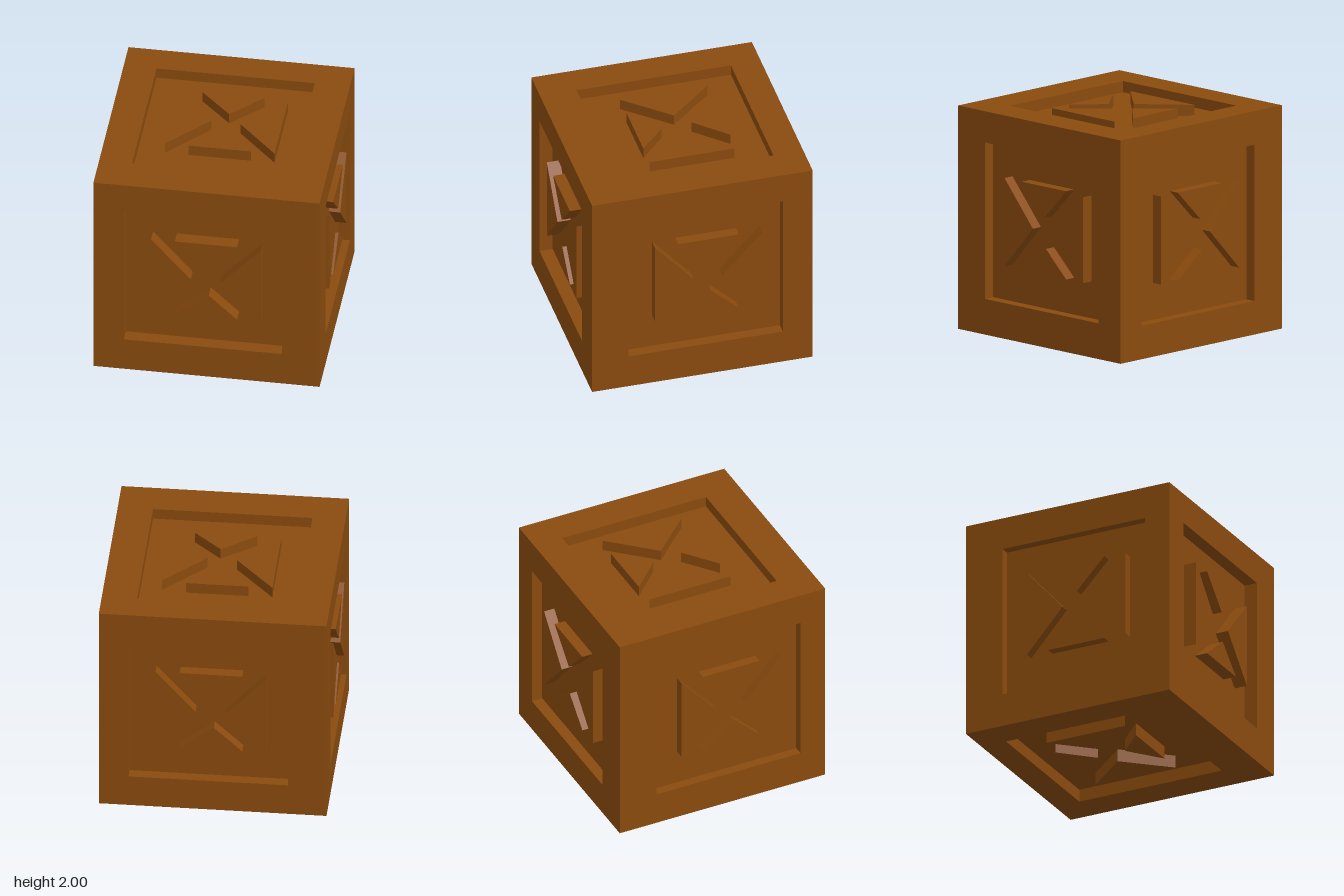
import * as THREE from 'three';

const wood = new THREE.MeshStandardMaterial({ color: 0x8a4b0e, flatShading: true, side: THREE.DoubleSide });

// Recess square, and the four wedges left standing in it (coordinates on the face plane)
const HALF = 0.7, CX = -0.03, CY = 0.02;
const WEDGES = {
  leftWedge: [[-0.49, 0.44], [-0.49, -0.35], [-0.14, 0.04]],
  rightWedge: [[0.48, 0.42], [0.12, 0.03], [0.48, -0.35]],
  topWedge: [[-0.28, 0.44], [0, 0.16], [0.27, 0.44]],
  bottomWedge: [[-0.28, -0.35], [0.27, -0.35], [0.02, -0.115]],
};

const polygon = (pts, Type = THREE.Shape) => new Type(pts.map(([x, y]) => new THREE.Vector2(x, y)));
const square = (r, x = 0, y = 0) => [[x - r, y - r], [x + r, y - r], [x + r, y + r], [x - r, y + r]];

function addMesh(parent, name, geometry) {
  const mesh = new THREE.Mesh(geometry, wood);
  mesh.name = name;
  parent.add(mesh);
  return mesh;
}

// One crate side facing +z at z = 1; dx, dy shift its carving
function makeSide(name, depth, dx, dy) {
  const side = new THREE.Group();
  side.name = name;
  const x = CX + dx, y = CY + dy;

  // Flat border around the recess
  const border = polygon(square(1));
  border.holes.push(polygon(square(HALF, x, y).reverse(), THREE.Path));
  addMesh(side, 'border', new THREE.ShapeGeometry(border)).position.z = 1;

  // Recess walls: an open four-sided tube
  const walls = new THREE.CylinderGeometry(HALF * Math.SQRT2, HALF * Math.SQRT2, depth, 4, 1, true, Math.PI / 4);
  walls.rotateX(Math.PI / 2);
  addMesh(side, 'recessWalls', walls).position.set(x, y, 1 - depth / 2);

  // Recess floor
  addMesh(side, 'recessFloor', new THREE.PlaneGeometry(2 * HALF, 2 * HALF)).position.set(x, y, 1 - depth);

  // Raised wedges, flush with the border
  for (const [wedgeName, pts] of Object.entries(WEDGES)) {
    const geometry = new THREE.ExtrudeGeometry(polygon(pts), { depth, bevelEnabled: false });
    addMesh(side, wedgeName, geometry).position.set(dx, dy, 1 - depth);
  }
  return side;
}

export function createModel() {
  const crate = new THREE.Group();
  crate.name = 'crate';
  const q = Math.PI / 2;
  // name, recess depth, carving shift, rotation
  const sides = [
    ['frontSide', 0.12, 0, 0, [0, 0, 0]],
    ['leftSide', 0.1, 0.06, 0, [0, q, 0]],
    ['backSide', 0.1, -0.01, -0.02, [0, 2 * q, 0]],
    ['rightSide', 0.085, 0.09, -0.015, [0, -q, 0]],
    ['topSide', 0.1, 0.02, 0.01, [-q, 0, 0]],
    ['bottomSide', 0.115, 0.03, 0.04, [q, 0, 2 * q]],
  ];
  for (const [name, depth, dx, dy, rotation] of sides) {
    const side = makeSide(name, depth, dx, dy);
    side.rotation.set(...rotation);
    side.position.y = 1;
    crate.add(side);
  }
  return crate;
}
